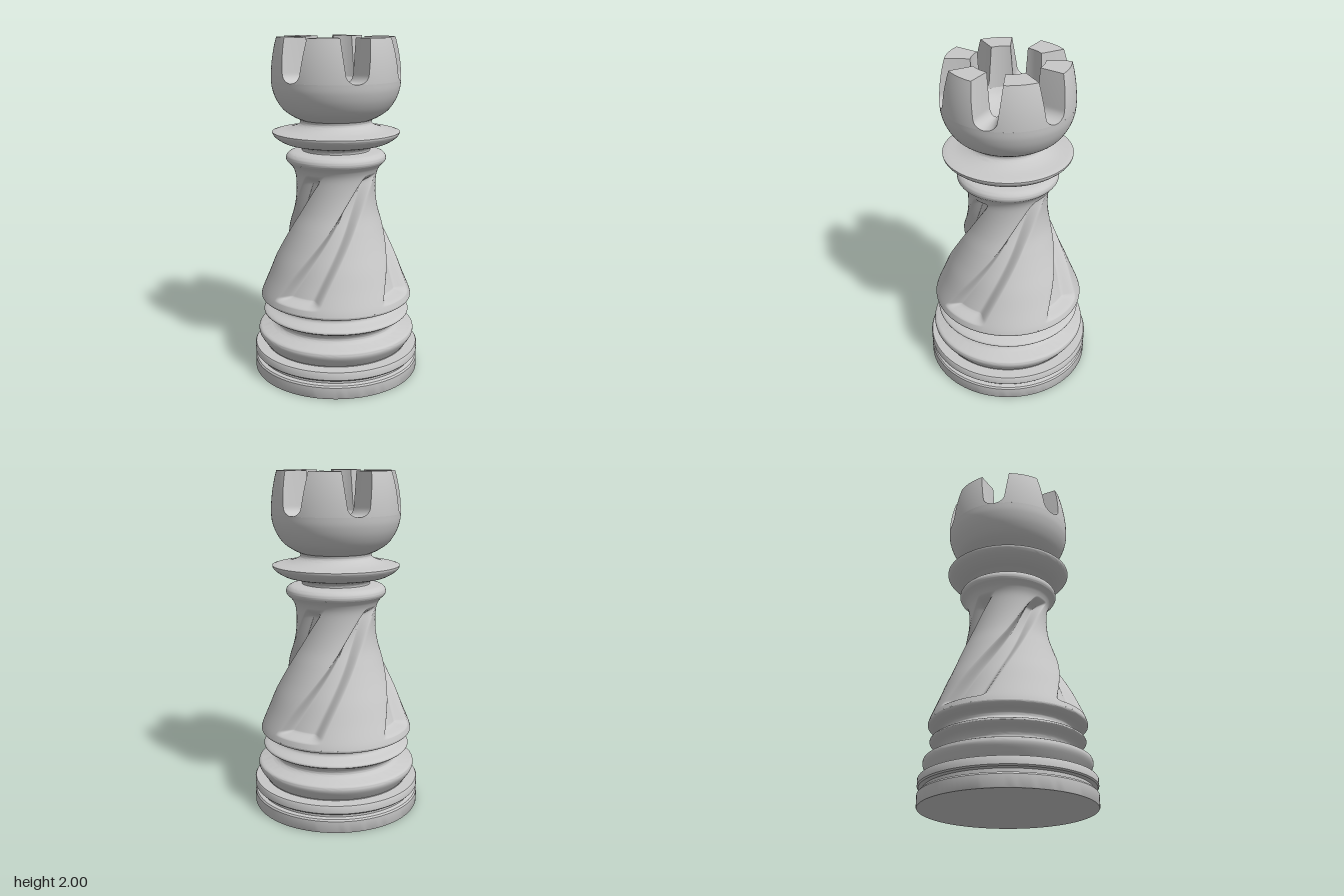
import * as THREE from 'three';
import { toCreasedNormals } from 'three/addons/utils/BufferGeometryUtils.js';

const { smoothstep, lerp, degToRad } = THREE.MathUtils;
const stone = new THREE.MeshStandardMaterial({ color: 0xc8c8c8 });
stone.name = 'lightGrey';

const vec = (pts) => pts.map(([r, y]) => new THREE.Vector2(r, y));
const spline = (pts, n) => new THREE.SplineCurve(vec(pts)).getPoints(n);

function part(name, geometry) {
  const mesh = new THREE.Mesh(geometry, stone);
  mesh.name = name;
  return mesh;
}

// Turned part: keeps corners sharp, curves smooth
const turned = (name, points) =>
  part(name, toCreasedNormals(new THREE.LatheGeometry(points, 96), 0.6));

// Conical body with four twisted flutes cut into it
function flutedBody() {
  const rows = spline([[0.455, 0.475], [0.443, 0.51], [0.405, 0.6], [0.365, 0.7], [0.322, 0.8],
    [0.283, 0.9], [0.25, 1.0], [0.235, 1.1], [0.237, 1.2], [0.255, 1.255], [0.287, 1.29]], 130);
  const FLUTE = 28, LAND = 12, cols = (FLUTE + LAND) * 4;
  const pos = [], index = [];
  rows.forEach((p, i) => {
    const t = (p.y - 0.51) / 0.72;
    const centre = -51 + 43 * t + 48.5 * t * t;
    const half = lerp(21, 15, Math.min(1, Math.max(0, t * 1.6)));
    const ends = smoothstep(p.y, 0.505, 0.535) * (1 - smoothstep(p.y, 1.17, 1.235));
    for (let j = 0; j < cols; j++) {
      const k = j % (FLUTE + LAND), sector = Math.floor(j / (FLUTE + LAND));
      let angle, depth = 0;
      if (k <= FLUTE) {
        const u = -1 + 2 * k / FLUTE;
        angle = u * half;
        depth = 0.065 * ends * smoothstep(u, -1, -0.55) * (1 - smoothstep(u, 0.5, 1));
      } else {
        angle = lerp(half, 90 - half, (k - FLUTE) / LAND);
      }
      const a = degToRad(centre + angle + sector * 90), r = p.x - depth;
      pos.push(r * Math.sin(a), p.y, r * Math.cos(a));
      if (i < rows.length - 1) {
        const A = i * cols + j, B = i * cols + (j + 1) % cols;
        index.push(A, B, B + cols, A, B + cols, A + cols);
      }
    }
  });
  const g = new THREE.BufferGeometry();
  g.setAttribute('position', new THREE.Float32BufferAttribute(pos, 3));
  g.setIndex(index);
  g.computeVertexNormals();
  return part('flutedBody', g);
}

const NOTCH_Y = 1.76;

// One battlement block: a box bent round the axis, wider toward its foot
function merlonGeometry() {
  const g = new THREE.BoxGeometry(1, 1, 1, 14, 24, 6);
  const p = g.attributes.position;
  for (let i = 0; i < p.count; i++) {
    const t = (p.getY(i) + 0.5) ** 2;
    const y = lerp(NOTCH_Y, 2, t);
    const s = Math.min(1, t / 0.2);
    const notch = 9 * Math.sqrt(1 - (1 - s) ** 2) + 5.5 * t;
    const a = degToRad(2 * p.getX(i) * (30 - notch));
    const outer = 0.373 - 0.034 * t * t;
    const r = lerp(0.2, outer, p.getZ(i) + 0.5);
    p.setXYZ(i, r * Math.sin(a), y, r * Math.cos(a));
  }
  g.computeVertexNormals();
  return g;
}

export function createModel() {
  const model = new THREE.Group();
  model.name = 'rook';

  // Stepped base with grooves and beads
  model.add(turned('base', [
    ...vec([[0, 0], [0.497, 0], [0.5, 0.005], [0.5, 0.07], [0.493, 0.08], [0.47, 0.085], [0.47, 0.105],
      [0.493, 0.11], [0.5, 0.118], [0.5, 0.155], [0.495, 0.163], [0.43, 0.166]]),
    ...spline([[0.43, 0.17], [0.452, 0.2], [0.473, 0.235], [0.473, 0.262], [0.455, 0.273]], 14),
    ...spline([[0.395, 0.28], [0.372, 0.295], [0.37, 0.315], [0.39, 0.34], [0.43, 0.36], [0.442, 0.372],
      [0.43, 0.385], [0.385, 0.402], [0.37, 0.418], [0.38, 0.44], [0.43, 0.452], [0.452, 0.463],
      [0.455, 0.475]], 44),
  ]));

  model.add(flutedBody());

  // Neck ring and wide collar
  model.add(turned('collar', [
    ...spline([[0.287, 1.29], [0.294, 1.305], [0.29, 1.325], [0.27, 1.343], [0.235, 1.35]], 14),
    ...spline([[0.2, 1.354], [0.205, 1.37], [0.24, 1.386], [0.3, 1.4], [0.345, 1.425], [0.368, 1.448],
      [0.372, 1.463]], 20),
    ...spline([[0.355, 1.468], [0.28, 1.48], [0.225, 1.5], [0.208, 1.518], [0.212, 1.535]], 16),
  ]));

  // Round cup with a hollow centre
  model.add(turned('cup', [
    ...spline([[0.212, 1.535], [0.25, 1.553], [0.305, 1.592], [0.345, 1.65], [0.367, 1.71],
      [0.373, NOTCH_Y]], 26),
    ...vec([[0.2, NOTCH_Y]]),
    ...spline([[0.197, 1.755], [0.17, 1.72], [0.12, 1.69], [0.06, 1.672], [0, 1.667]], 16),
  ]));

  // Six battlements
  const geometry = merlonGeometry();
  for (let i = 0; i < 6; i++) {
    const merlon = part('battlement', geometry);
    merlon.rotation.y = degToRad(30 + i * 60);
    model.add(merlon);
  }
  return model;
}
